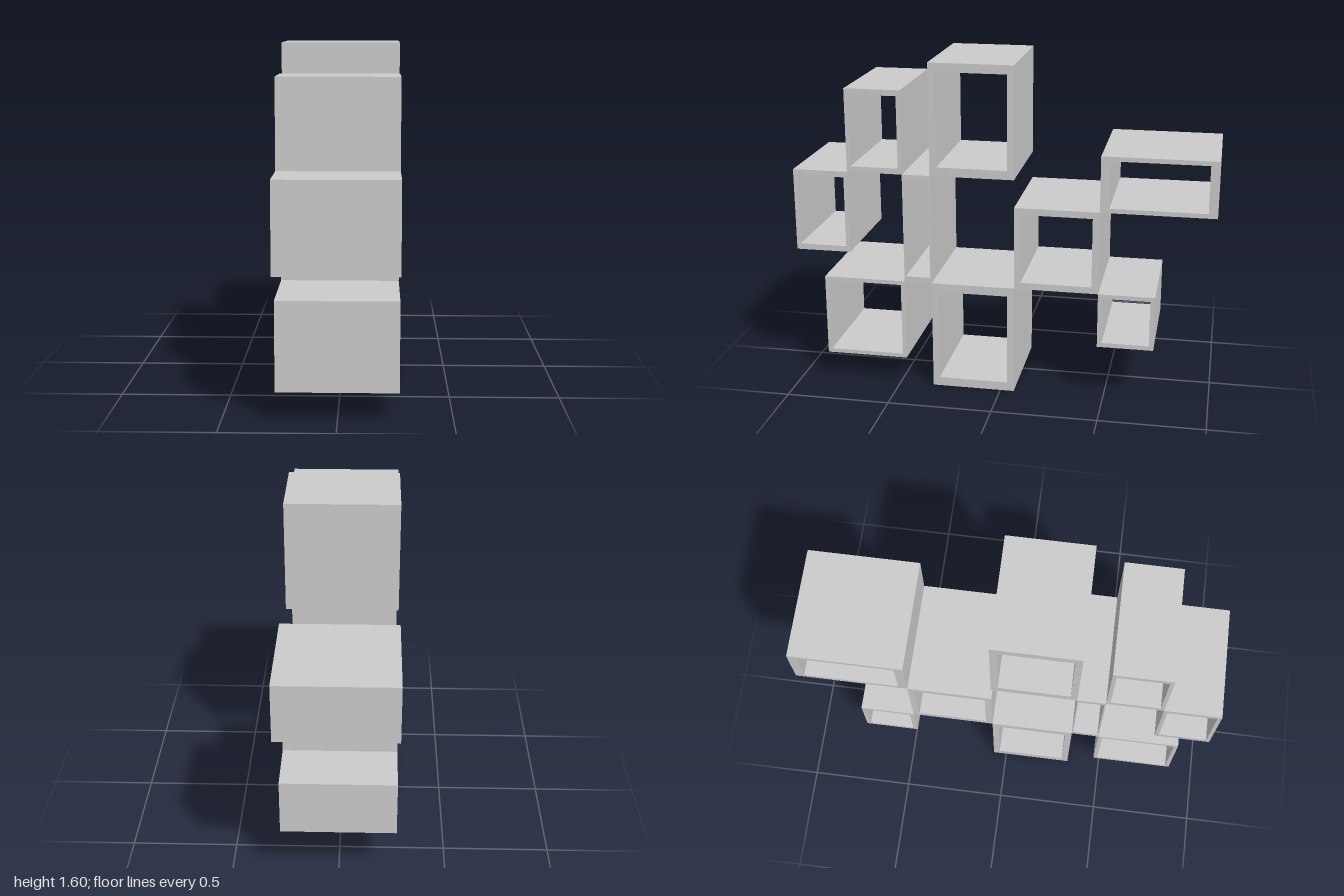
import * as THREE from 'three';

const UNIT = 1 / 15;   // layout grid step
const DEPTH = 8 * UNIT;

// Each cell: name, z range, y range (grid steps), wall as a fraction of the side
const CELLS = [
  ['topCell', -1, 5, 16, 24, 0.08],
  ['upperFrontCell', 7, 11, 16, 22, 0.07],
  ['frontCell', 11, 15, 10, 16, 0.07],
  ['narrowMiddleCell', 5, 7, 8, 16, 0.05],
  ['lowerFrontCell', 7, 13, 2, 8, 0.05],
  ['baseCell', -1, 5, 0, 8, 0.08],
  ['rearMiddleCell', -7, -1, 8, 14, 0.08],
  ['upperRearCell', -15, -7, 14, 18, 0.08],
  ['lowerRearCell', -11, -7, 4, 8, 0.08],
];

function rectangle(Type, w, h) {
  return new Type([
    new THREE.Vector2(-w / 2, -h / 2), new THREE.Vector2(w / 2, -h / 2),
    new THREE.Vector2(w / 2, h / 2), new THREE.Vector2(-w / 2, h / 2),
  ]);
}

// Rectangular tube, open at both ends, running along x
function makeCell(name, z0, z1, y0, y1, wall, material) {
  const w = (z1 - z0) * UNIT, h = (y1 - y0) * UNIT;
  const shape = rectangle(THREE.Shape, w, h);
  shape.holes.push(rectangle(THREE.Path, w * (1 - 2 * wall), h * (1 - 2 * wall)));
  const geometry = new THREE.ExtrudeGeometry(shape, { depth: DEPTH, bevelEnabled: false });
  geometry.translate(0, 0, -DEPTH / 2).rotateY(Math.PI / 2);
  const mesh = new THREE.Mesh(geometry, material);
  mesh.name = name;
  mesh.position.set(0, (y0 + y1) / 2 * UNIT, (z0 + z1) / 2 * UNIT);
  return mesh;
}

export function createModel() {
  const group = new THREE.Group();
  group.name = 'cubeShelf';
  const material = new THREE.MeshStandardMaterial({ color: 0xcccccc });
  for (const cell of CELLS) group.add(makeCell(...cell, material));
  return group;
}
